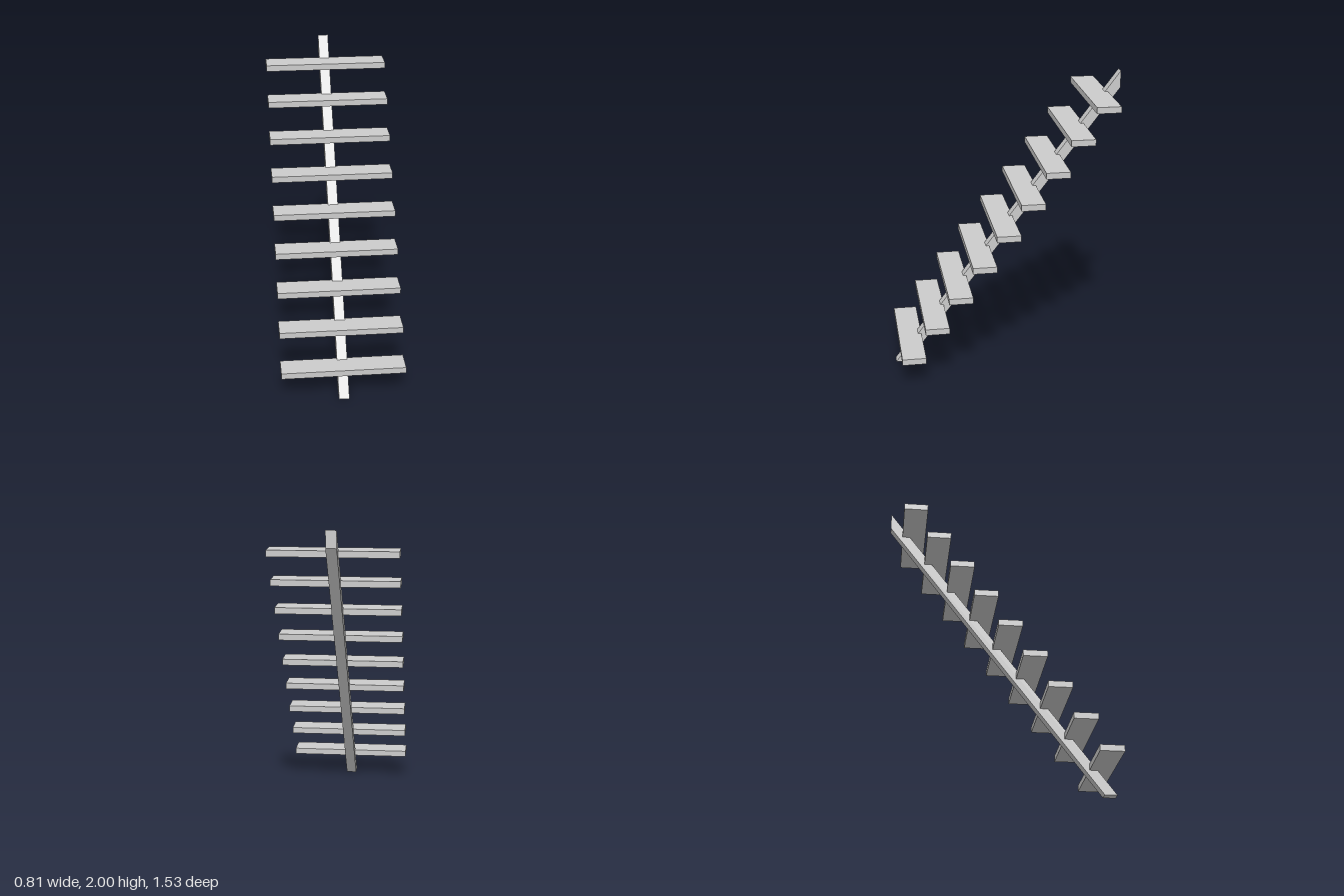
import * as THREE from 'three';

export function createModel() {
  const group = new THREE.Group();
  const material = new THREE.MeshStandardMaterial({ color: 0xcccccc, flatShading: true });

  // Sloping central beam, cut level at the floor and plumb at the top
  const beamWidth = 0.068;
  const profile = new THREE.Shape([
    [-0.763, 0], [-0.68, 0], [0.762, 1.89], [0.762, 2],
  ].map(([back, y]) => new THREE.Vector2(back, y)));
  const beamGeometry = new THREE.ExtrudeGeometry(profile, { depth: beamWidth, bevelEnabled: false });
  beamGeometry.translate(0, 0, -beamWidth / 2);
  beamGeometry.rotateY(Math.PI / 2); // profile x runs towards the back (-z)
  const beam = new THREE.Mesh(beamGeometry, material);
  beam.name = 'centralBeam';
  group.add(beam);

  // Evenly spaced treads, each starting where the one below ends
  const count = 9, going = 0.158, rise = 0.2076;
  const treadGeometry = new THREE.BoxGeometry(0.812, 0.041, going);
  for (let i = 0; i < count; i++) {
    const tread = new THREE.Mesh(treadGeometry, material);
    tread.name = `tread${i + 1}`;
    tread.position.set(0, 0.183 + i * rise, 0.664 - i * going);
    group.add(tread);
  }
  return group;
}
